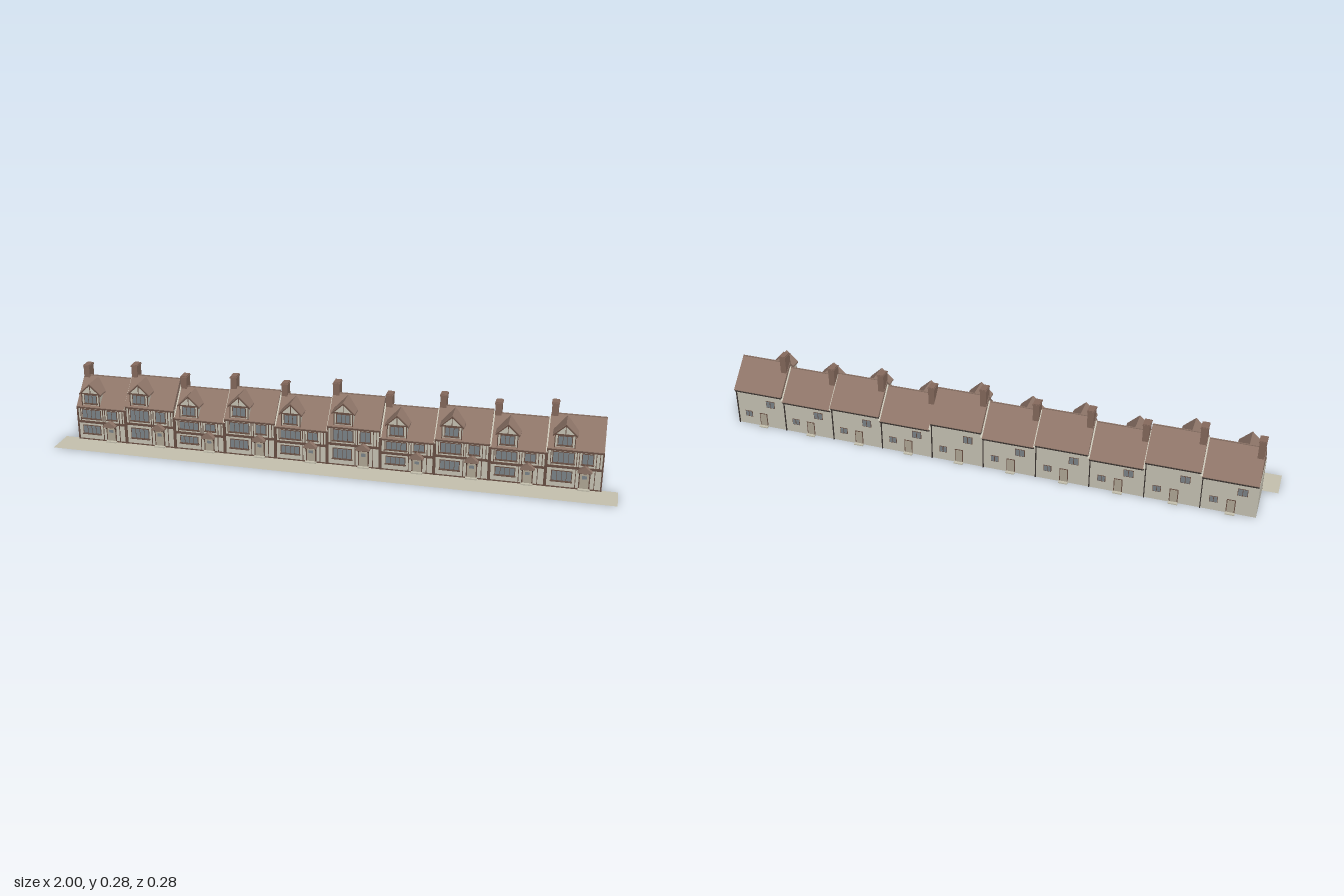
import * as THREE from 'three';

const mat = (name, color, side = THREE.FrontSide) => {
  const m = new THREE.MeshStandardMaterial({ color, side });
  m.name = name;
  return m;
};

export function createModel() {
  const M = {
    render: mat('cream render', 0xc9c5b6),
    tile: mat('roof tile', 0x8f7669),
    brick: mat('chimney brick', 0x866a5d),
    timber: mat('timber', 0x6a5145),
    glass: mat('window glass', 0x7d858a),
    iron: mat('gutter iron', 0x3d3633),
    door: mat('door', 0xb3aa98),
    paving: mat('paving', 0xc6c2b0, THREE.DoubleSide),
  };
  const model = new THREE.Group();
  model.name = 'terraceRow';

  const add = (parent, name, geo, m) => {
    const mesh = new THREE.Mesh(geo, m);
    mesh.name = name;
    parent.add(mesh);
    return mesh;
  };
  // box given by its limits
  const box = (p, name, m, x0, x1, y0, y1, z0, z1) => {
    const g = new THREE.BoxGeometry(x1 - x0, y1 - y0, z1 - z0);
    g.translate((x0 + x1) / 2, (y0 + y1) / 2, (z0 + z1) / 2);
    return add(p, name, g, m);
  };
  const shapeOf = pts => new THREE.Shape(pts.map(a => new THREE.Vector2(a[0], a[1])));
  // [z, y] section run along x
  const alongX = (p, name, m, pts, x0, x1) => {
    const g = new THREE.ExtrudeGeometry(shapeOf(pts.map(([z, y]) => [-z, y])), { depth: x1 - x0, bevelEnabled: false });
    g.rotateY(Math.PI / 2).translate(x0, 0, 0);
    return add(p, name, g, m);
  };
  // [x, y] section run along z
  const alongZ = (p, name, m, pts, z0, z1) => {
    const g = new THREE.ExtrudeGeometry(shapeOf(pts), { depth: z1 - z0, bevelEnabled: false });
    g.translate(0, 0, z0);
    return add(p, name, g, m);
  };
  // inverted V centred on x
  const chevron = (x, half, yLow, yTop, t) => [
    [x - half, yLow], [x, yTop - t], [x + half, yLow], [x + half, yLow + t], [x, yTop], [x - half, yLow + t],
  ];

  const FRONT = 0.038, BACK = -0.127, RIDGE_Z = -0.044, W = 0.189;
  const ridges = [0.224, 0.24, 0.213, 0.229, 0.219, 0.24, 0.213, 0.229, 0.219, 0.236];

  // framed window with mullions on the front wall
  const frontWindow = (p, name, x0, x1, y0, y1, panes) => {
    const g = new THREE.Group();
    g.name = name;
    p.add(g);
    box(g, 'windowFrame', M.timber, x0 - 0.003, x1 + 0.003, y0 - 0.003, y1 + 0.003, FRONT, 0.0395);
    box(g, 'windowGlass', M.glass, x0, x1, y0, y1, FRONT, 0.0405);
    for (let i = 1; i < panes; i++) {
      const x = x0 + (x1 - x0) * i / panes;
      box(g, 'mullion', M.timber, x - 0.0008, x + 0.0008, y0, y1, FRONT, 0.0415);
    }
    box(g, 'windowSill', M.timber, x0 - 0.005, x1 + 0.005, y0 - 0.005, y0 - 0.002, FRONT, 0.044);
  };
  // plain window on the rear wall
  const backWindow = (p, x, y, w, h) => {
    box(p, 'rearWindowFrame', M.timber, x - w / 2 - 0.002, x + w / 2 + 0.002, y - 0.002, y + h + 0.002, BACK - 0.001, BACK);
    box(p, 'rearWindowGlass', M.glass, x - w / 2, x + w / 2, y, y + h, BACK - 0.002, BACK);
    box(p, 'rearMullion', M.timber, x - 0.001, x + 0.001, y, y + h, BACK - 0.003, BACK);
  };

  ridges.forEach((ridge, i) => {
    const h = new THREE.Group();
    h.name = 'house' + (i + 1);
    h.position.x = -0.945 + i * W;
    model.add(h);
    const eave = ridge - 0.095, s = eave / 0.141;

    // walls and main roof
    box(h, 'walls', M.render, 0, W, 0, eave, BACK, FRONT);
    alongX(h, 'mainRoof', M.tile, [[0.044, eave], [0.044, eave + 0.002], [RIDGE_Z, ridge], [-0.138, eave + 0.002], [-0.138, eave]], 0.0015, W - 0.0015);
    box(h, 'ridgeTiles', M.tile, 0.0015, W - 0.0015, ridge - 0.003, ridge + 0.001, RIDGE_Z - 0.002, RIDGE_Z + 0.002);

    // light party wall capping between neighbouring roofs
    if (i > 0) {
      const r = Math.min(ridge, ridges[i - 1]) + 0.003, e = r - 0.095;
      alongX(h, 'partyWallCap', M.render, [[0.043, e - 0.002], [0.043, e], [RIDGE_Z, r], [-0.137, e], [-0.137, e - 0.002]], -0.0035, 0.0035);
    }

    // gutters and downpipes
    box(h, 'frontGutter', M.timber, 0.002, W - 0.002, eave - 0.006, eave, FRONT, 0.043);
    box(h, 'rearGutter', M.iron, 0.002, W - 0.002, eave - 0.007, eave, -0.135, BACK);
    box(h, 'rearDownpipe', M.iron, W - 0.006, W - 0.003, 0, eave, -0.131, BACK);

    // chimney with a stepped cap
    box(h, 'chimneyStack', M.brick, 0.003, 0.025, eave + 0.04, ridge + 0.032, -0.073, -0.036);
    box(h, 'chimneyCap', M.brick, 0.001, 0.027, ridge + 0.032, ridge + 0.036, -0.075, -0.034);
    box(h, 'chimneyTop', M.brick, 0.003, 0.025, ridge + 0.036, ridge + 0.039, -0.074, -0.038);

    // front timber frame
    const floor = 0.077 * s;
    box(h, 'floorBeam', M.timber, 0, W, floor - 0.004, floor + 0.004, FRONT, 0.042);
    box(h, 'plinthBeam', M.timber, 0, W, 0, 0.004, FRONT, 0.041);
    for (const x of [0.0025, W - 0.0025])
      box(h, 'cornerPost', M.timber, x - 0.0025, x + 0.0025, 0, eave, FRONT, 0.042);
    for (const x of [0.014, 0.1, 0.108, 0.164, 0.176])
      box(h, 'upperStud', M.timber, x - 0.0012, x + 0.0012, floor, eave, FRONT, 0.0405);
    for (const x of [0.1, 0.163])
      box(h, 'lowerStud', M.timber, x - 0.0012, x + 0.0012, 0, floor, FRONT, 0.0405);

    // front windows
    frontWindow(h, 'groundWindow', 0.022, 0.086, 0.027, 0.06 * s, 4);
    frontWindow(h, 'upperWindow', 0.022, 0.09, floor + 0.016, eave - 0.012, 4);
    frontWindow(h, 'smallUpperWindow', 0.119, 0.153, floor + 0.018, eave - 0.012, 2);

    // front door, gabled hood on brackets, and step
    const dx = 0.13, py = 0.068 * s;
    box(h, 'doorFrame', M.timber, dx - 0.019, dx + 0.019, 0, 0.063 * s, FRONT, 0.04);
    box(h, 'frontDoor', M.door, dx - 0.015, dx + 0.015, 0.004, 0.058 * s, FRONT, 0.041);
    box(h, 'doorLight', M.glass, dx - 0.008, dx + 0.008, 0.04 * s, 0.052 * s, FRONT, 0.0415);
    box(h, 'frontStep', M.paving, dx - 0.02, dx + 0.02, 0, 0.005, FRONT, 0.052);
    alongZ(h, 'hoodRoof', M.tile, [[dx - 0.024, py], [dx + 0.024, py], [dx + 0.024, py + 0.005], [dx, py + 0.024], [dx - 0.024, py + 0.005]], FRONT, 0.059);
    for (const x of [dx - 0.019, dx + 0.016])
      alongX(h, 'hoodBracket', M.timber, [[FRONT, py - 0.014], [0.043, py - 0.012], [0.053, py], [FRONT, py]], x, x + 0.003);

    // gabled dormer
    const cx = 0.057, low = eave + 0.052, top = eave + 0.09;
    alongZ(h, 'dormerBody', M.render, [[cx - 0.035, eave], [cx + 0.035, eave], [cx + 0.035, low + 0.003], [cx, top - 0.004], [cx - 0.035, low + 0.003]], -0.036, 0.0385);
    alongZ(h, 'dormerRoof', M.tile, chevron(cx, 0.042, low - 0.004, top + 0.002, 0.005), -0.037, 0.042);
    alongZ(h, 'bargeBoards', M.timber, chevron(cx, 0.041, low - 0.006, top - 0.001, 0.005), 0.0385, 0.0435);
    for (const x of [cx - 0.0335, cx + 0.0335])
      box(h, 'dormerPost', M.timber, x - 0.0015, x + 0.0015, eave, low, FRONT, 0.041);
    box(h, 'dormerTie', M.timber, cx - 0.035, cx + 0.035, low - 0.002, low + 0.002, FRONT, 0.041);
    box(h, 'dormerKingPost', M.timber, cx - 0.0012, cx + 0.0012, low, top - 0.004, FRONT, 0.041);
    frontWindow(h, 'dormerWindow', cx - 0.022, cx + 0.022, eave + 0.017, low - 0.006, 3);

    // rear door, step and windows
    box(h, 'rearDoorFrame', M.timber, 0.07, 0.1, 0, 0.054, BACK - 0.001, BACK);
    box(h, 'rearDoor', M.door, 0.073, 0.097, 0.004, 0.051, BACK - 0.002, BACK);
    box(h, 'rearStep', M.paving, 0.069, 0.101, 0, 0.004, -0.14, BACK);
    backWindow(h, 0.143, 0.034, 0.024, 0.02);
    backWindow(h, 0.052, 0.085 * s, 0.03, 0.024);
  });

  // pavement strip in front of the row
  const strip = new THREE.PlaneGeometry(2, 0.108);
  strip.rotateX(-Math.PI / 2).translate(0, 0.0005, 0.086);
  add(model, 'pavement', strip, M.paving);

  return model;
}
